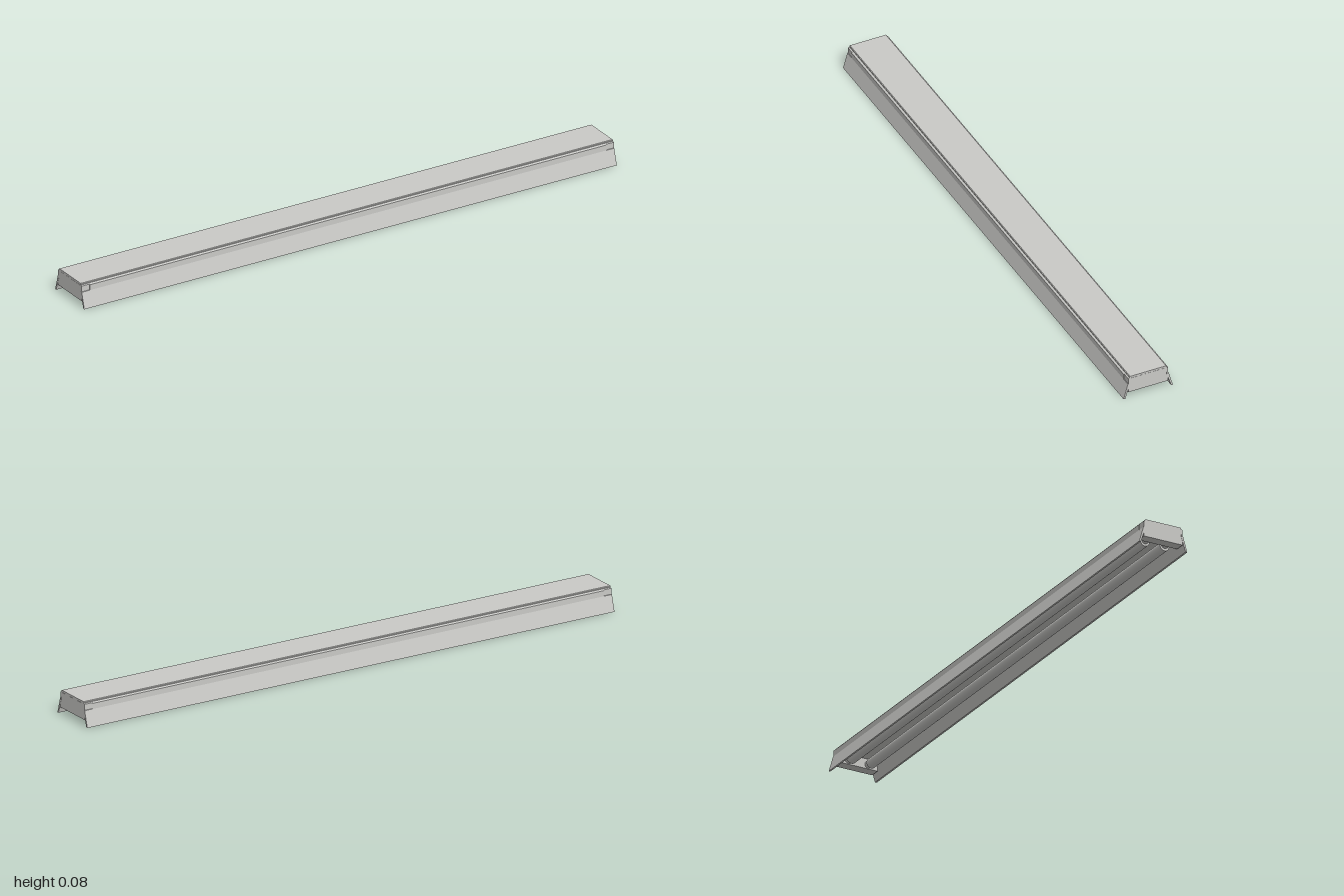
import * as THREE from 'three';

const grey = new THREE.MeshStandardMaterial({ color: 0xc9c9c6 });
grey.name = 'light grey';

// Extrudes a (z, y) outline along x, centred on x = 0
function profile(points, length) {
  const shape = new THREE.Shape(points.map(([z, y]) => new THREE.Vector2(-z, y)));
  const geo = new THREE.ExtrudeGeometry(shape, { depth: length, bevelEnabled: false });
  geo.translate(0, 0, -length / 2);
  geo.rotateY(Math.PI / 2);
  return geo;
}

export function createModel() {
  const model = new THREE.Group();
  model.name = 'twinTubeBatten';
  const add = (name, geo, x = 0, y = 0, z = 0) => {
    const mesh = new THREE.Mesh(geo, grey);
    mesh.name = name;
    mesh.position.set(x, y, z);
    model.add(mesh);
    return mesh;
  };

  // Shallow stepped top tray that carries the ceiling of the lamp bay
  add('housing', profile([
    [-0.068, 0.056], [0.068, 0.056], [0.071, 0.075], [0.066, 0.077], [0.066, 0.08], [0.064, 0.082],
    [-0.064, 0.082], [-0.066, 0.08], [-0.066, 0.077], [-0.071, 0.075],
  ], 1.998));

  for (const s of [1, -1]) {
    // Sloping reflector, full length, with a shorter upright strip above it
    add('reflectorWing', profile([
      [s * 0.088, 0], [s * 0.0725, 0.054], [s * 0.066, 0.058], [s * 0.066, 0.05], [s * 0.082, 0],
    ], 2));
    add('reflectorUpright', profile([
      [s * 0.0725, 0.054], [s * 0.0725, 0.073], [s * 0.071, 0.075], [s * 0.066, 0.075], [s * 0.066, 0.054],
    ], 1.94));

    // Lamp with a narrower metal neck and socket at each end
    const tube = new THREE.CylinderGeometry(0.017, 0.017, 1.89, 24);
    tube.rotateZ(Math.PI / 2);
    add('lampTube', tube, 0, 0.033, s * 0.036);
    for (const e of [1, -1]) {
      const socket = new THREE.CylinderGeometry(0.012, 0.012, 0.03, 16);
      socket.rotateZ(Math.PI / 2);
      add('lampSocket', socket, e * 0.955, 0.036, s * 0.036);
    }
  }

  // Closed boxes at both ends
  for (const e of [1, -1]) {
    add('endCap', new THREE.BoxGeometry(0.035, 0.053, 0.142), e * 0.982, 0.0485, 0);
  }
  return model;
}
